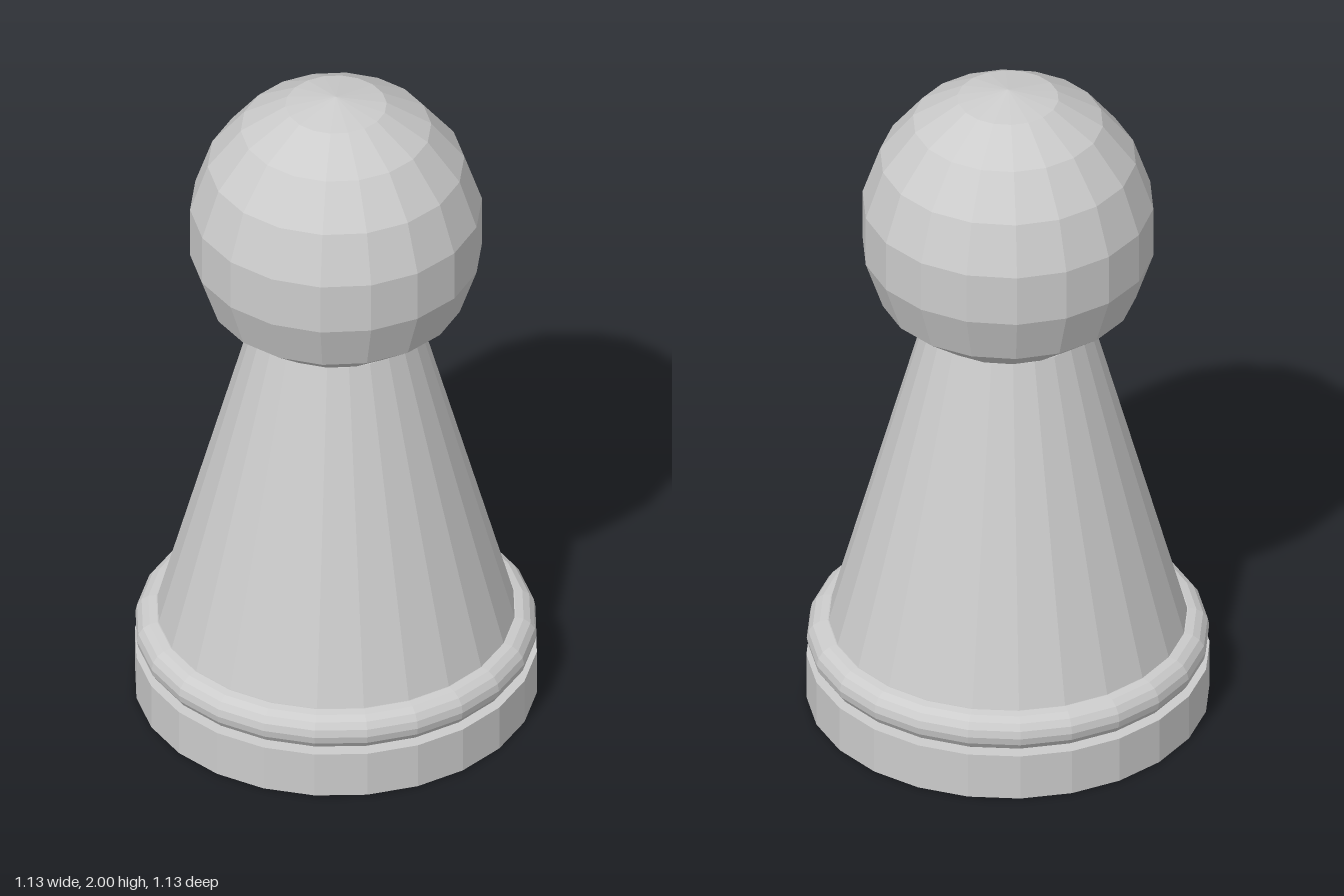
import * as THREE from 'three';

const material = new THREE.MeshStandardMaterial({ color: 0xcccccc, flatShading: true });

// Faceted turned part from a bottom-to-top profile of [radius, height] pairs
function turned(name, profile, sides) {
  const points = profile.map(([r, y]) => new THREE.Vector2(r, y));
  const mesh = new THREE.Mesh(new THREE.LatheGeometry(points, sides), material);
  mesh.name = name;
  return mesh;
}

export function createModel() {
  const group = new THREE.Group();
  group.name = 'gamePawn';

  // Flat disc base
  group.add(turned('base', [[0, 0], [0.567, 0], [0.567, 0.14], [0, 0.14]], 24));

  // Rounded collar resting on the base
  const ring = [];
  for (let i = 0; i <= 16; i++) {
    const a = (i / 16) * Math.PI * 2;
    ring.push([0.507 + 0.059 * Math.cos(a), 0.196 + 0.058 * Math.sin(a)]);
  }
  group.add(turned('collar', ring, 24));

  // Tapered body
  group.add(turned('body', [[0, 0.15], [0.53, 0.15], [0.505, 0.25], [0.235, 1.235], [0, 1.235]], 24));

  // Ball head: 20 degree rings, slightly taller than wide, narrowing to the neck
  const head = [[0, 1.235], [0.235, 1.235]];
  for (let deg = 120; deg >= 0; deg -= 20) {
    const a = THREE.MathUtils.degToRad(deg);
    head.push([0.417 * Math.sin(a), 1.555 + 0.445 * Math.cos(a)]);
  }
  group.add(turned('head', head, 18));

  return group;
}
